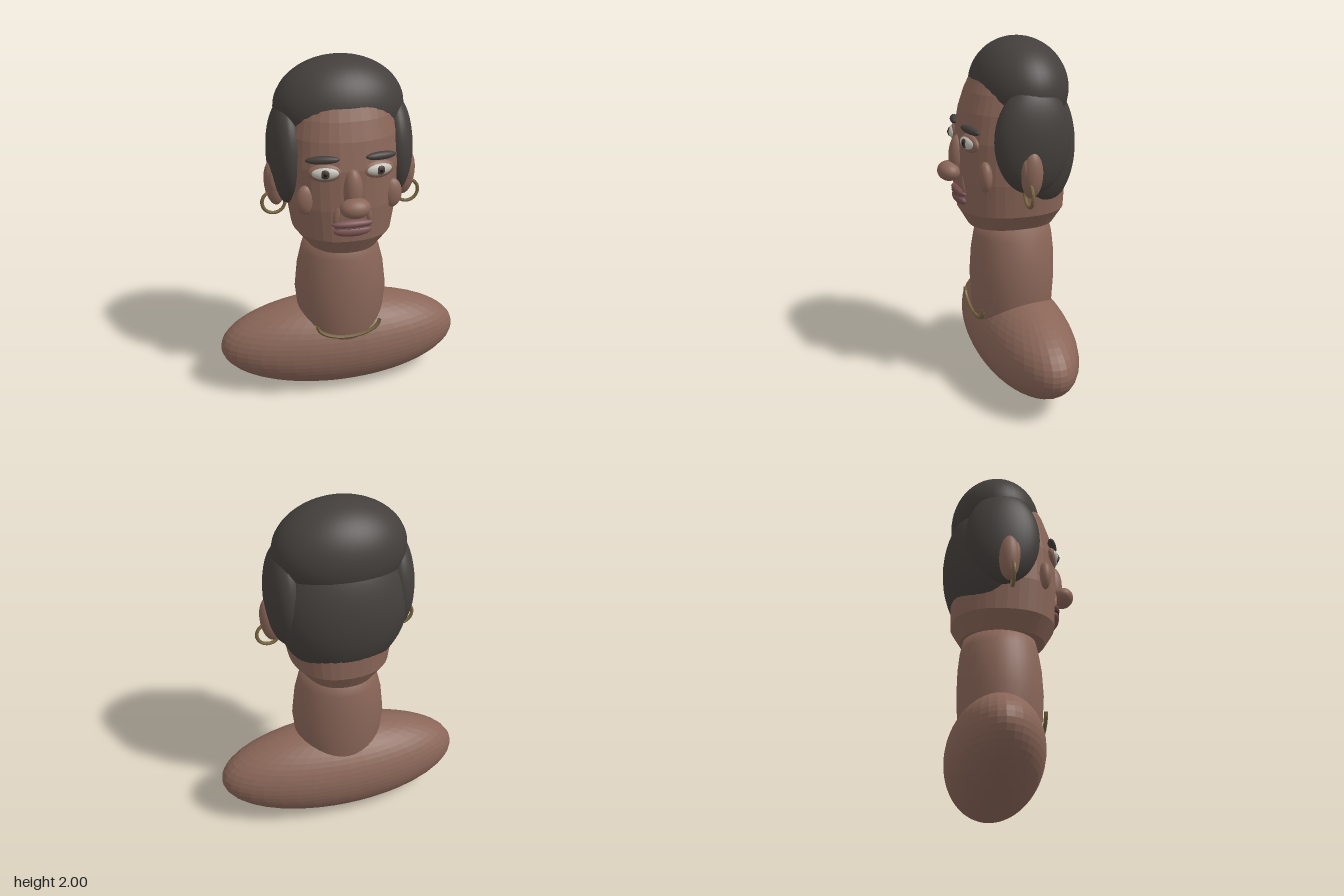
import * as THREE from 'three';

const paint = (color, flatShading = false) => new THREE.MeshStandardMaterial({ color, flatShading });
const skin = paint(0x8a6658);
const skinFlat = paint(0x8a6658, true);
const hair = paint(0x443f3c);
const gold = paint(0x75633f, true);
const lip = paint(0x7c5354);
const white = paint(0xc4c0b8);
const iris = paint(0x4a3c34);
const black = paint(0x1c1817);

// Ellipsoid from centre and radii
function blob(name, material, [x, y, z], radii, segments = 24) {
  const mesh = new THREE.Mesh(new THREE.SphereGeometry(1, segments, Math.round(segments * 0.7)), material);
  mesh.name = name;
  mesh.position.set(x, y, z);
  mesh.scale.set(...radii);
  return mesh;
}

// Closed skin over horizontal rounded sections [y, half width, front z, back z]
function loft(name, sections, power, material) {
  const N = 36;
  const pos = [];
  const index = [];
  const bend = (v) => Math.sign(v) * Math.abs(v) ** (2 / power);
  for (const [y, rx, front, back] of sections) {
    for (let i = 0; i < N; i++) {
      const a = (i / N) * Math.PI * 2;
      pos.push(rx * bend(Math.sin(a)), y, (front + back) / 2 + ((front - back) / 2) * bend(Math.cos(a)));
    }
  }
  for (let r = 0; r < sections.length - 1; r++) {
    for (let i = 0; i < N; i++) {
      const a = r * N + i;
      const b = r * N + ((i + 1) % N);
      index.push(a, b, b + N, a, b + N, a + N);
    }
  }
  // End caps
  const last = sections.length - 1;
  for (const [r, up] of [[0, false], [last, true]]) {
    const [y, , front, back] = sections[r];
    const c = pos.length / 3;
    pos.push(0, y, (front + back) / 2);
    for (let i = 0; i < N; i++) {
      const a = r * N + i;
      const b = r * N + ((i + 1) % N);
      if (up) index.push(c, a, b);
      else index.push(c, b, a);
    }
  }
  const geometry = new THREE.BufferGeometry();
  geometry.setAttribute('position', new THREE.Float32BufferAttribute(pos, 3));
  geometry.setIndex(index);
  geometry.computeVertexNormals();
  const mesh = new THREE.Mesh(geometry, material);
  mesh.name = name;
  return mesh;
}

// Features that occur on both sides
function sideParts(s) {
  const g = new THREE.Group();
  g.name = s > 0 ? 'leftSide' : 'rightSide';

  g.add(blob('sideHair', hair, [s * 0.297, 1.49, -0.06], [0.107, 0.29, 0.21], 32));

  const ear = blob('ear', skin, [s * 0.372, 1.325, -0.03], [0.055, 0.13, 0.058]);
  ear.rotation.z = s * -0.1;
  g.add(ear, blob('innerEar', skin, [s * 0.375, 1.35, 0.01], [0.034, 0.075, 0.022], 16));

  const ring = new THREE.Mesh(new THREE.TorusGeometry(0.064, 0.01, 8, 32), gold);
  ring.name = 'earring';
  ring.position.set(s * 0.381, 1.22, -0.01);
  g.add(ring);

  // Eye built up in layers, turned to follow the face
  const eye = new THREE.Group();
  eye.name = 'eye';
  eye.position.set(s * 0.143, 1.467, 0.243);
  eye.rotation.y = s * 0.2;
  eye.add(
    blob('eyelid', skin, [0, -0.003, -0.004], [0.092, 0.05, 0.028]),
    blob('eyeball', white, [0, 0, 0.008], [0.073, 0.034, 0.027]),
    blob('iris', iris, [0, 0, 0.029], [0.025, 0.025, 0.009], 16),
    blob('pupil', black, [0, 0, 0.036], [0.011, 0.011, 0.005], 12),
  );
  g.add(eye);

  const brow = blob('eyebrow', hair, [s * 0.157, 1.537, 0.24], [0.09, 0.022, 0.024]);
  brow.rotation.set(0, s * 0.25, s * -0.04);
  g.add(brow);

  g.add(blob('cheek', skin, [s * 0.238, 1.298, 0.183], [0.053, 0.083, 0.036]));
  const fold = blob('smileFold', skin, [s * 0.085, 1.23, 0.255], [0.02, 0.063, 0.018], 16);
  fold.rotation.z = s * 0.2;
  g.add(fold);
  return g;
}

export function createModel() {
  const model = new THREE.Group();
  model.name = 'bust';

  // Shoulders, neck and head
  model.add(blob('shoulders', skinFlat, [0, 0.283, -0.077], [0.714, 0.281, 0.267], 40));
  model.add(loft('neck', [
    [0.3, 0.2, 0.15, -0.24],
    [0.45, 0.245, 0.185, -0.275],
    [0.65, 0.266, 0.196, -0.285],
    [0.8, 0.25, 0.187, -0.282],
    [0.9, 0.225, 0.172, -0.272],
    [1.0, 0.19, 0.15, -0.25],
  ], 2, skin));
  model.add(loft('head', [
    [0.97, 0.2, 0.206, -0.275],
    [1.065, 0.275, 0.262, -0.328],
    [1.25, 0.305, 0.274, -0.335],
    [1.47, 0.315, 0.27, -0.33],
    [1.62, 0.305, 0.243, -0.315],
    [1.72, 0.285, 0.21, -0.295],
    [1.8, 0.255, 0.172, -0.27],
    [1.88, 0.17, 0.08, -0.2],
  ], 2.3, skinFlat));

  // Hair
  model.add(blob('hairCap', hair, [0, 1.73, -0.077], [0.358, 0.27, 0.263], 40));
  model.add(blob('backHair', hair, [0, 1.42, -0.122], [0.365, 0.41, 0.26], 40));

  // Nose and mouth
  model.add(blob('noseBridge', skin, [0, 1.36, 0.265], [0.053, 0.123, 0.052]));
  model.add(blob('noseTip', skin, [0, 1.285, 0.318], [0.083, 0.055, 0.063]));
  model.add(blob('upperLip', lip, [0, 1.173, 0.26], [0.115, 0.024, 0.034]));
  model.add(blob('lowerLip', lip, [0, 1.13, 0.258], [0.105, 0.033, 0.034]));
  model.add(blob('mouthLine', iris, [0, 1.155, 0.266], [0.1, 0.006, 0.027]));

  for (const s of [1, -1]) model.add(sideParts(s));

  // Necklace hanging at the throat
  const arc = [];
  for (let i = 0; i <= 12; i++) {
    const a = Math.PI * (1 + i / 12);
    arc.push(new THREE.Vector3(0.183 * Math.cos(a), 0.51 + 0.092 * Math.sin(a), 0.183));
  }
  const necklace = new THREE.Mesh(
    new THREE.TubeGeometry(new THREE.CatmullRomCurve3(arc), 40, 0.011, 6), gold);
  necklace.material.side = THREE.DoubleSide;
  necklace.name = 'necklace';
  model.add(necklace);

  return model;
}
